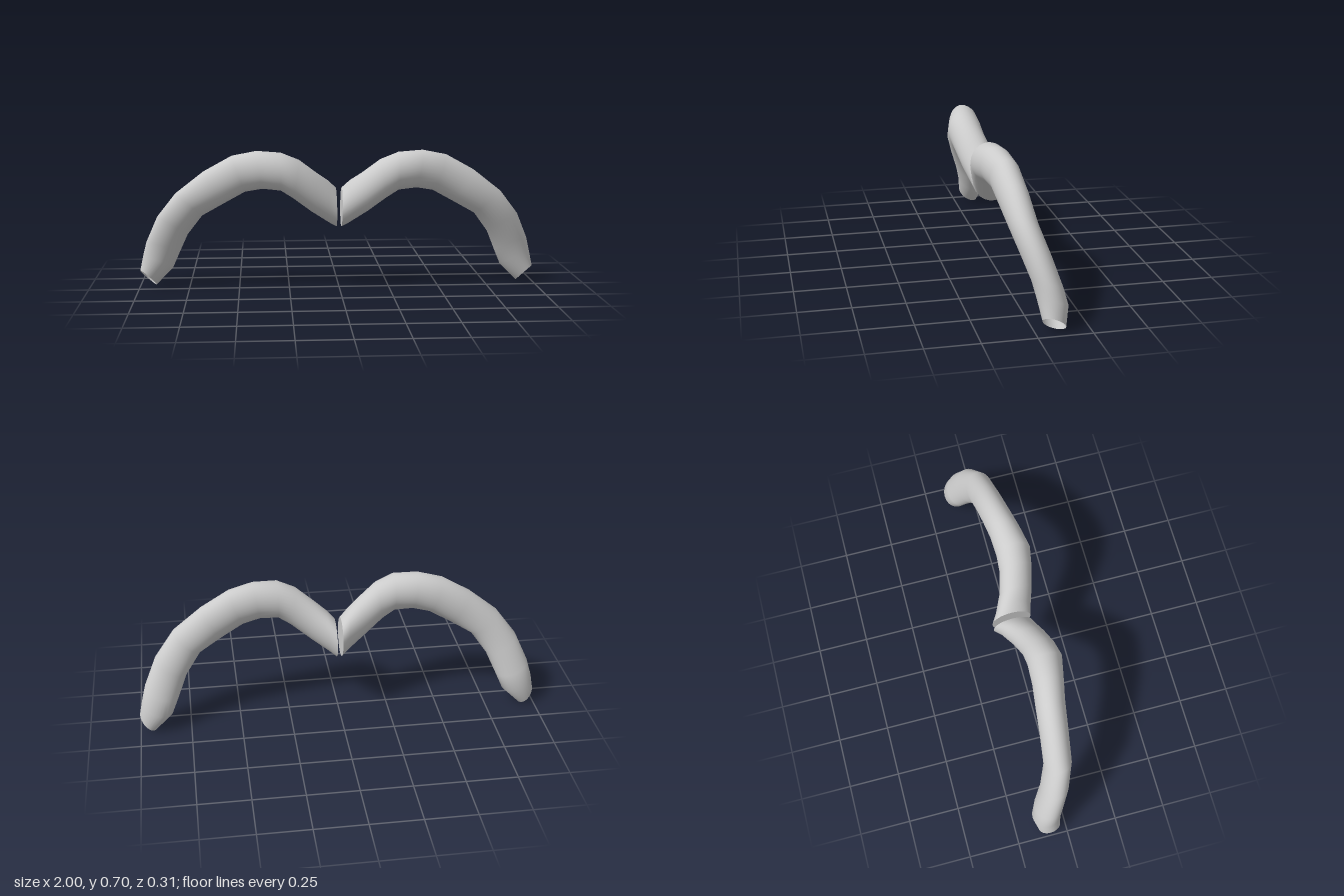
import * as THREE from 'three';

const SIDES = 32;

// Cross-sections from inner end to cuff:
// upper edge x, y; lower edge x, y; front z, back z; lift of the front edge
const SECTIONS = [
  [0.015, 0.50, 0.012, 0.305, 0.08, -0.115, 0],
  [0.055, 0.54, 0.045, 0.325, 0.09, -0.088, 0],
  [0.11, 0.58, 0.14, 0.39, 0.115, -0.05, 0],
  [0.20, 0.65, 0.23, 0.46, 0.138, -0.024, 0],
  [0.29, 0.687, 0.29, 0.50, 0.15, -0.02, 0],
  [0.41, 0.695, 0.38, 0.508, 0.128, -0.025, 0],
  [0.53, 0.67, 0.465, 0.492, 0.106, -0.037, 0],
  [0.67, 0.592, 0.57, 0.433, 0.09, -0.047, 0],
  [0.81, 0.482, 0.68, 0.37, 0.073, -0.06, 0.01],
  [0.905, 0.36, 0.755, 0.27, 0.038, -0.098, 0.015],
  [0.965, 0.225, 0.80, 0.17, 0, -0.138, 0.02],
  [0.985, 0.15, 0.835, 0.09, -0.018, -0.156, 0.02],
  [1.0, 0.075, 0.92, 0.005, -0.03, -0.135, 0.022],
];

const material = new THREE.MeshStandardMaterial({ color: 0xcccccc, side: THREE.DoubleSide });

// One elliptical ring of points; side is +1 (left) or -1 (right)
function ring([tx, ty, bx, by, zf, zb, lift], side) {
  const points = [];
  for (let j = 0; j < SIDES; j++) {
    const a = (j / SIDES) * Math.PI * 2;
    const c = Math.cos(a), s = Math.sin(a);
    points.push(
      side * ((tx + bx) / 2 + ((tx - bx) / 2) * c),
      (ty + by) / 2 + ((ty - by) / 2) * c + lift * s,
      (zf + zb) / 2 + ((zf - zb) / 2) * s,
    );
  }
  return points;
}

function makeMesh(name, positions, triangles, side) {
  const geometry = new THREE.BufferGeometry();
  geometry.setAttribute('position', new THREE.Float32BufferAttribute(positions, 3));
  // Mirrored pieces need their corner order reversed
  geometry.setIndex(triangles.flatMap(([a, b, c]) => (side > 0 ? [a, b, c] : [a, c, b])));
  geometry.computeVertexNormals();
  const mesh = new THREE.Mesh(geometry, material);
  mesh.name = name;
  return mesh;
}

function makeArm(side) {
  const arm = new THREE.Group();
  arm.name = side > 0 ? 'leftArm' : 'rightArm';

  // Curved tube, open at the cuff
  const positions = SECTIONS.flatMap((section) => ring(section, side));
  const triangles = [];
  for (let i = 0; i < SECTIONS.length - 1; i++) {
    for (let j = 0; j < SIDES; j++) {
      const k = (j + 1) % SIDES;
      const a = i * SIDES + j, b = i * SIDES + k;
      triangles.push([a, b, a + SIDES], [b, b + SIDES, a + SIDES]);
    }
  }
  arm.add(makeMesh('sleeve', positions, triangles, side));

  // Flat face at the inner end
  const cap = [];
  for (let j = 1; j < SIDES - 1; j++) cap.push([0, j + 1, j]);
  arm.add(makeMesh('innerEnd', ring(SECTIONS[0], side), cap, side));
  return arm;
}

export function createModel() {
  const model = new THREE.Group();
  model.name = 'armPair';
  model.add(makeArm(1), makeArm(-1));
  return model;
}
